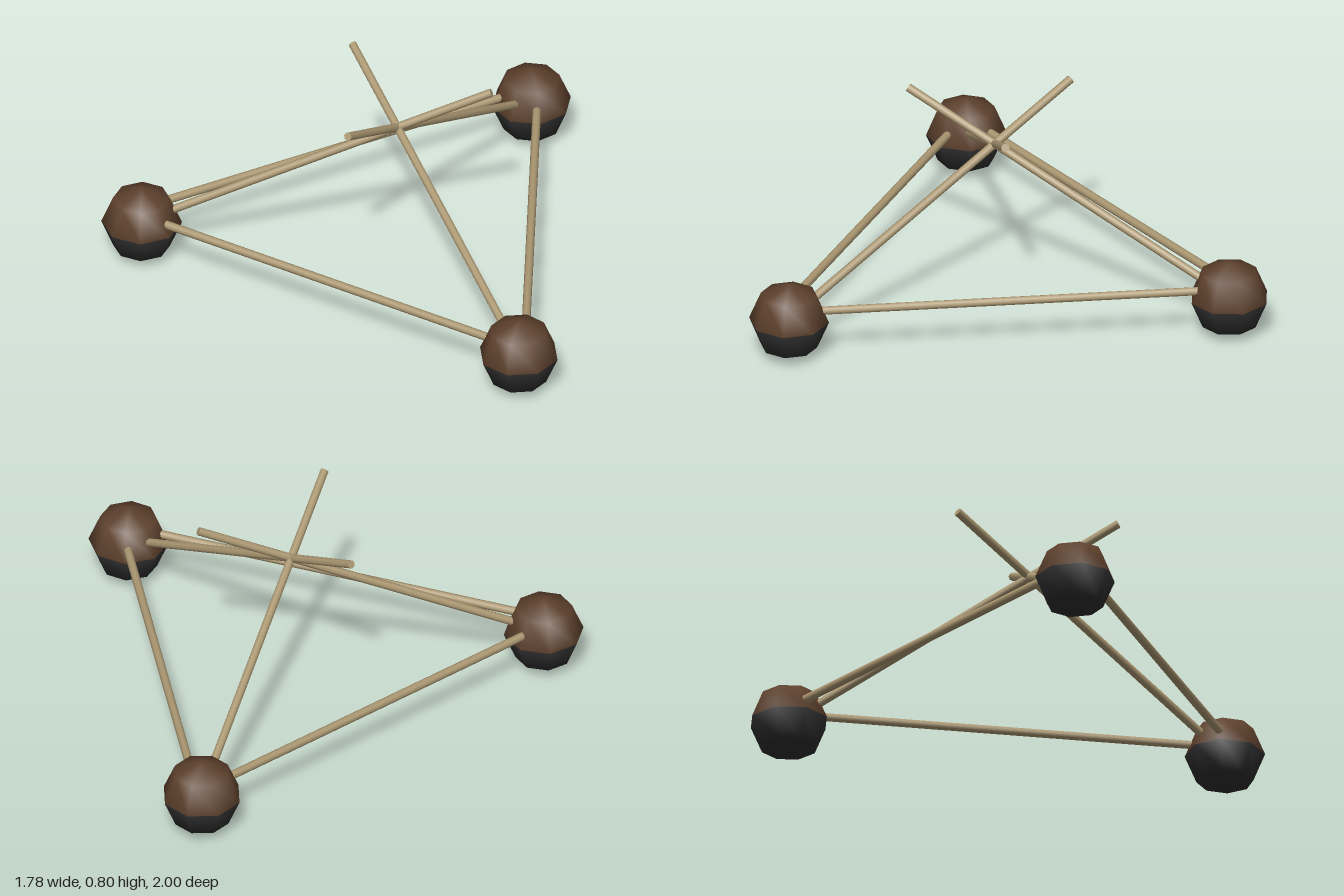
import * as THREE from 'three';

const BALL_R = 0.155; // ball radius
const RING_R = 0.982; // distance of each ball from the centre of the triangle
const CENTRE_X = 0.248; // where the three long poles cross

const brown = new THREE.MeshStandardMaterial({ color: 0x5e412d });
brown.name = 'brown';
const charcoal = new THREE.MeshStandardMaterial({ color: 0x2d2d2d });
charcoal.name = 'charcoal';
const wood = new THREE.MeshStandardMaterial({ color: 0xac9872 });
wood.name = 'paleWood';

// Straight round pole between two points
function pole(name, from, to, radius) {
  const a = new THREE.Vector3(...from);
  const b = new THREE.Vector3(...to);
  const dir = b.clone().sub(a);
  const mesh = new THREE.Mesh(new THREE.CylinderGeometry(radius, radius, dir.length(), 8), wood);
  mesh.name = name;
  mesh.position.copy(a).add(b).multiplyScalar(0.5);
  mesh.quaternion.setFromUnitVectors(new THREE.Vector3(0, 1, 0), dir.normalize());
  return mesh;
}

// Half of a low-poly ball, starting at polar angle theta
function halfBall(name, theta, material) {
  const mesh = new THREE.Mesh(
    new THREE.SphereGeometry(BALL_R, 8, 2, 0, Math.PI * 2, theta, Math.PI / 2), material);
  mesh.name = name;
  mesh.position.set(-RING_R, BALL_R, 0);
  return mesh;
}

export function createModel() {
  const model = new THREE.Group();
  model.name = 'tripodFrame';

  // Three identical sectors: a ball, its leaning pole and the opposite base pole
  for (let i = 0; i < 3; i++) {
    const sector = new THREE.Group();
    sector.name = 'sector' + (i + 1);
    sector.position.x = CENTRE_X;
    sector.rotation.y = (i * Math.PI * 2) / 3;

    sector.add(halfBall('ballTop', 0, brown));
    sector.add(halfBall('ballBottom', Math.PI / 2, charcoal));
    sector.add(pole('leaningPole', [-0.9, 0.196, 0], [0.362, 0.783, 0], 0.0165));
    sector.add(pole('basePole', [0.515, 0.2, -0.75], [0.515, 0.2, 0.75], 0.0165));
    model.add(sector);
  }
  return model;
}
